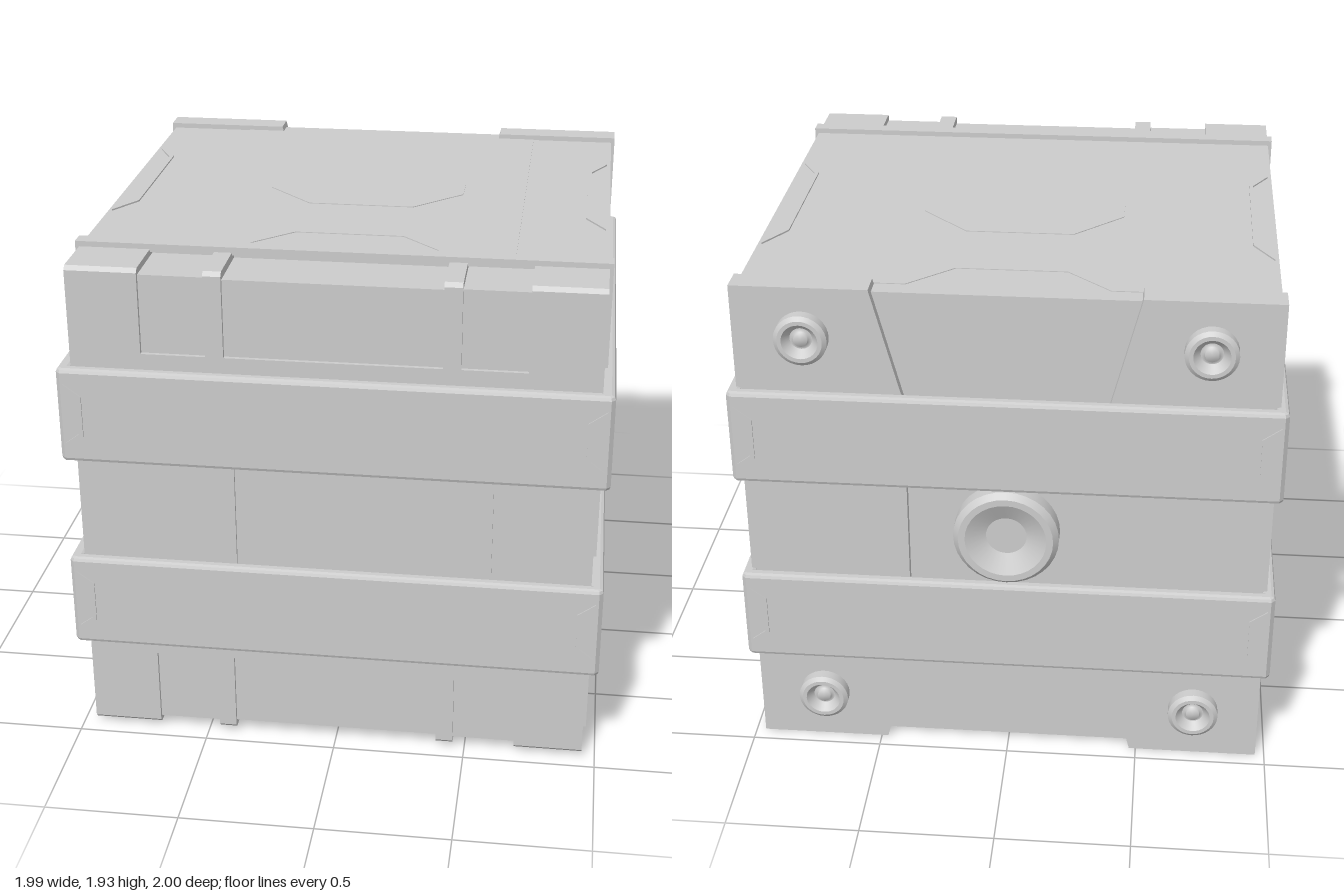
import * as THREE from 'three';

export function createModel() {
  const crate = new THREE.Group();
  crate.name = 'crate';
  const grey = new THREE.MeshStandardMaterial({ color: 0xcccccc });
  grey.name = 'grey';

  const add = (name, geometry, x = 0, y = 0, z = 0) => {
    const mesh = new THREE.Mesh(geometry, grey);
    mesh.name = name;
    mesh.position.set(x, y, z);
    crate.add(mesh);
    return mesh;
  };
  const outline = pts => new THREE.Shape(pts.map(p => new THREE.Vector2(p[0], p[1])));
  const prism = (shape, depth, bevel = 0) => {
    const g = new THREE.ExtrudeGeometry(shape, {
      depth: depth - 2 * bevel, bevelEnabled: bevel > 0, bevelThickness: bevel,
      bevelSize: bevel, bevelOffset: -bevel, bevelSegments: 2,
    });
    return g.translate(0, 0, bevel);
  };
  // Rectangle with cut corners
  const chamferRect = (w, h, c) => [
    [w - c, -h], [w, -h + c], [w, h - c], [w - c, h],
    [-w + c, h], [-w, h - c], [-w, -h + c], [-w + c, -h],
  ];
  // Upright prism from [x, z] points
  const upright = (name, pts, y0, y1) => add(name,
    prism(outline(pts.map(([x, z]) => [x, -z])), y1 - y0).rotateX(-Math.PI / 2), 0, y0, 0);

  // Body slices across x: full-depth corners and clips, recessed in between
  const full = [
    [-0.91, 0.02], [0.93, 0.02], [0.945, 0.035], [0.945, 1.895], [0.93, 1.91], [-0.91, 1.91],
  ];
  const recessed = (dz, dy) => [
    [-0.91, 0.02], [0.7, 0.02], [0.7, 0.02 + dy], [0.945 - dz, 0.02 + dy], [0.945 - dz, 0.34],
    [0.945, 0.34], [0.945, 1.59], [0.945 - dz, 1.59], [0.945 - dz, 1.91 - dy],
    [0.7, 1.91 - dy], [0.7, 1.91], [-0.91, 1.91],
  ];
  const slice = (name, x0, x1, profile) => add(name,
    prism(outline(profile.map(([z, y]) => [-z, y])), x1 - x0).rotateY(Math.PI / 2), x0, 0, 0);
  slice('bodyCentre', -0.39, 0.39, recessed(0.015, 0.03));
  for (const s of [-1, 1]) {
    const mirrored = (name, a, b, profile) =>
      slice(name, Math.min(s * a, s * b), Math.max(s * a, s * b), profile);
    mirrored('bodyClip', 0.39, 0.455, full);
    mirrored('bodyRecess', 0.455, 0.69, recessed(0.015, 0.025));
    mirrored('bodyCorner', 0.69, 0.95, full);
  }

  // Narrow strap around the body near the front
  const strap = outline([[-0.965, 0], [0.965, 0], [0.965, 1.93], [-0.965, 1.93]]);
  strap.holes.push(outline([[-0.94, 0.03], [-0.94, 1.9], [0.94, 1.9], [0.94, 0.03]]));
  add('frontStrap', prism(strap, 0.06), 0, 0, 0.675);

  // Two bands standing off the rear face, with raised corner brackets
  for (const y of [0.4, 1.17]) {
    const ring = outline(chamferRect(0.995, 0.995, 0.015));
    ring.holes.push(outline([[-0.945, -0.945], [-0.945, 0.945], [0.945, 0.945], [0.945, -0.945]]));
    add('band', prism(ring, 0.366, 0.015).rotateX(-Math.PI / 2), 0, y, 0);
    for (const s of [-1, 1]) {
      const bracket = outline([
        [0.97, 0.127], [0.905, 0.08], [0.905, -0.08], [0.97, -0.127],
        [0.97, -0.105], [0.92, -0.067], [0.92, 0.067], [0.97, 0.105],
      ].map(([x, v]) => [s * x, v]));
      for (const z of [0.99, -1]) add('bandBracket', prism(bracket, 0.01), 0, y + 0.183, z);
    }
  }

  // Raised plates on the front between the bands
  for (const s of [-1, 1])
    add('frontPlate', new THREE.BoxGeometry(0.22, 0.42, 0.03), s * 0.473, 0.967, 0.942);

  // Thin raised panels, the same on the top and bottom
  upright('lidPanel', [
    [-0.62, -0.84], [-0.36, -0.84], [-0.2, -0.69], [0.2, -0.69], [0.36, -0.84], [0.62, -0.84],
    [0.62, 0.64], [0.36, 0.64], [0.2, 0.485], [-0.2, 0.485], [-0.36, 0.64], [-0.62, 0.64],
  ], 0.017, 1.913);
  upright('lidOctagon', [
    [-0.2, -0.355], [0.2, -0.355], [0.38, -0.17], [0.38, -0.03],
    [0.2, 0.15], [-0.2, 0.15], [-0.38, -0.03], [-0.38, -0.17],
  ], 0.014, 1.916);
  for (const s of [-1, 1])
    upright('lidBracket', [
      [0.935, -0.53], [0.86, -0.4], [0.86, 0.2], [0.935, 0.325],
      [0.935, 0.295], [0.875, 0.19], [0.875, -0.385], [0.935, -0.5],
    ].map(([x, z]) => [s * x, z]), 0.014, 1.916);

  // Rear corner posts that widen between the bands
  for (const s of [-1, 1])
    add('rearPost', prism(outline([
      [0.965, 0], [0.965, 1.93], [0.475, 1.93], [0.365, 1.5], [0.365, 0.43], [0.475, 0],
    ].map(([x, y]) => [s * x, y])), 0.1), 0, 0, -0.943);

  // Dished round knobs on the rear
  const knob = (name, profile, x, y, z) => {
    const pts = profile.map(([r, h]) => new THREE.Vector2(r, h));
    add(name, new THREE.LatheGeometry(pts, 32).rotateX(-Math.PI / 2).toNonIndexed(), x, y, z)
      .geometry.computeBoundingSphere();
  };
  knob('rearDial', [
    [0.195, 0], [0.195, 0], [0.195, 0.06], [0.195, 0.06], [0.175, 0.083], [0.175, 0.083],
    [0.15, 0.083], [0.15, 0.083], [0.075, 0.045], [0.075, 0.045], [0, 0.045],
  ], 0, 0.965, -0.91);
  for (const x of [-0.715, 0.715])
    for (const y of [0.205, 1.745])
      knob('rearBolt', [
        [0.095, 0], [0.095, 0], [0.095, 0.04], [0.095, 0.04], [0.08, 0.052], [0.08, 0.052],
        [0.065, 0.052], [0.065, 0.052], [0.04, 0.02], [0.04, 0.02],
        [0.025, 0.02], [0.025, 0.035], [0, 0.035],
      ], x, y, -0.942);

  return crate;
}
